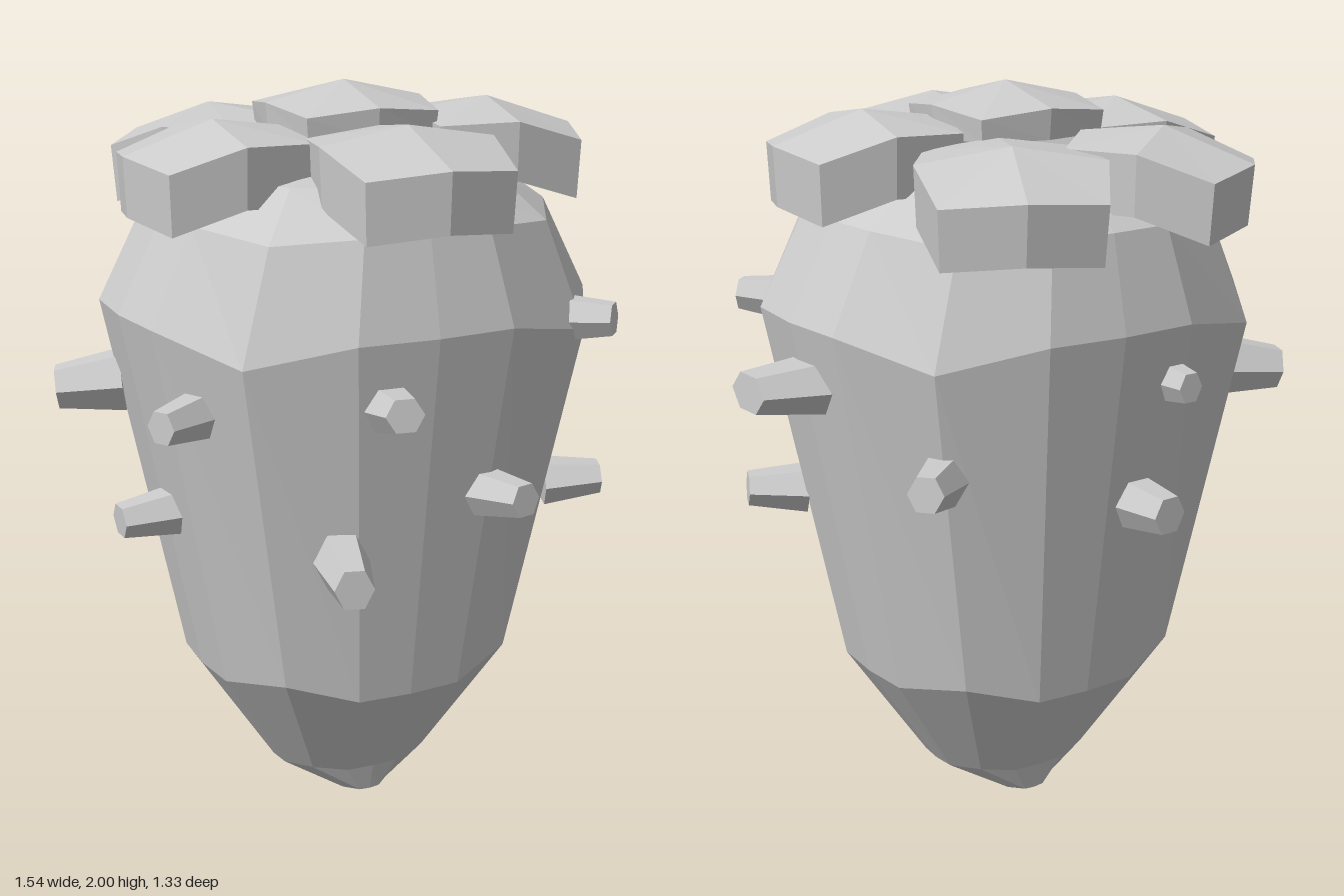
import * as THREE from 'three';

const material = new THREE.MeshStandardMaterial({ color: 0xcccccc, flatShading: true });

// Closed skin over equal-length rings of points, with a fan at each end
function loft(rings, bottom, top) {
  const n = rings[0].length;
  const pos = [];
  const tri = (...pts) => pts.forEach((p) => pos.push(...p));
  for (let i = 0; i < n; i++) {
    const j = (i + 1) % n;
    for (let r = 0; r < rings.length - 1; r++) {
      const lo = rings[r], hi = rings[r + 1];
      tri(lo[i], hi[i], hi[j]);
      tri(lo[i], hi[j], lo[j]);
    }
    tri(bottom, rings[0][i], rings[0][j]);
    const last = rings[rings.length - 1];
    tri(top, last[j], last[i]);
  }
  const g = new THREE.BufferGeometry();
  g.setAttribute('position', new THREE.Float32BufferAttribute(pos, 3));
  g.computeVertexNormals();
  return g;
}

function add(group, name, geometry) {
  const mesh = new THREE.Mesh(geometry, material);
  mesh.name = name;
  group.add(mesh);
  return mesh;
}

// Rounded-square section with four points per side
const quadrant = [[1, 0], [0.985, 0.34], [0.78, 0.74], [0.34, 0.965]];
const section = [];
for (let q = 0; q < 4; q++) {
  for (const [a, b] of quadrant) {
    // odd quarters swap the axes so the section turns a right angle
    section.push([[a, b], [-b, a], [-a, -b], [b, -a]][q]);
  }
}

function bodyGeometry() {
  // height, half width, half depth, lift of the corners
  const levels = [
    [0.02, 0.09, 0.17, 0], [0.1, 0.225, 0.19, 0.01], [0.42, 0.435, 0.425, 0.04],
    [1.43, 0.64, 0.57, -0.06], [1.68, 0.515, 0.51, -0.02], [1.78, 0.38, 0.38, 0],
  ];
  const rings = levels.map(([y, hx, hz, lift]) => section.map(([x, z], i) =>
    [x * hx - 0.02, y + (i % 4 === 2 ? lift : 0), z * hz - 0.02]));
  return loft(rings, [-0.02, 0, -0.02], [-0.02, 1.84, -0.02]);
}

// Thick leaf: outline in (outward, sideways), top height falls toward the tip
const leafOutline = [
  [0.24, 0, -0.08], [0.19, 0.205, -0.1], [0, 0.24, -0.04], [-0.2, 0.19, -0.05],
  [-0.22, 0, -0.03], [-0.2, -0.19, -0.05], [0, -0.24, -0.04], [0.19, -0.205, -0.1],
];
function leafGeometry() {
  const top = leafOutline.map(([u, v, y]) => [u, y, v]);
  const base = leafOutline.map(([u, v, y]) => [u * 0.97, y - 0.155, v * 0.97]);
  return loft([base, top], [0, -0.18, 0], [0, 0, 0]);
}

function capGeometry() {
  const ring = (y, s) => Array.from({ length: 8 }, (_, i) => {
    const a = i * Math.PI / 4, r = (i % 2 ? 0.262 : 0.222) * s;
    return [Math.cos(a) * r, y, Math.sin(a) * r];
  });
  const top = ring(-0.05, 1).map(([x, y, z], i) => [x, y + (i % 2 ? -0.02 : 0), z]);
  return loft([ring(-0.13, 0.97), top], [0, -0.13, 0], [0, 0, 0]);
}

export function createModel() {
  const model = new THREE.Group();
  model.name = 'berry';

  add(model, 'body', bodyGeometry());

  // Crown of five leaves: x, peak height, z, direction in degrees, extra tilt
  const leaves = new THREE.Group();
  leaves.name = 'leaves';
  model.add(leaves);
  const leafGeo = leafGeometry();
  [
    [0.37, 1.945, 0.04, 7, 0], [-0.41, 1.925, 0.03, 180, 0], [-0.02, 1.93, 0.36, 90, 0],
    [0.2, 1.895, -0.41, -67, 0.08], [-0.26, 1.91, -0.4, -128, 0.03],
  ].forEach(([x, y, z, deg, tilt], i) => {
    const leaf = add(leaves, `leaf${i + 1}`, leafGeo);
    leaf.position.set(x, y, z);
    leaf.rotation.set(0, -THREE.MathUtils.degToRad(deg), -tilt, 'YXZ');
  });
  add(leaves, 'centreLeaf', capGeometry()).position.set(-0.02, 2, -0.025);

  // Seeds: x, y, z, direction in degrees, upward tilt, width, height, length
  const seeds = new THREE.Group();
  seeds.name = 'seeds';
  model.add(seeds);
  const seedGeo = new THREE.CylinderGeometry(0.36, 0.52, 1, 6);
  seedGeo.rotateZ(-Math.PI / 2); // narrow end points along +x
  [
    [-0.15, 1.265, 0.57, 98, 0.15, 0.14, 0.13, 0.15],
    [0.18, 0.99, 0.53, 75, 0.1, 0.13, 0.13, 0.16],
    [-0.27, 0.85, 0.55, 105, 0, 0.14, 0.16, 0.2],
    [0.48, 1.4, 0.4, 45, 0.05, 0.13, 0.13, 0.16],
    [0.55, 0.9, 0.24, 20, 0.05, 0.16, 0.13, 0.16],
    [0.66, 1.27, -0.05, -5, 0.05, 0.22, 0.15, 0.2],
    [0.46, 1.09, -0.47, -45, 0.1, 0.13, 0.14, 0.16],
    [-0.6, 1.22, 0.28, 150, 0, 0.12, 0.13, 0.16],
    [-0.67, 1.19, -0.26, 200, -0.1, 0.18, 0.17, 0.18],
    [-0.61, 0.89, 0.02, 178, -0.05, 0.14, 0.13, 0.16],
    [-0.2, 1.28, -0.56, 268, 0, 0.1, 0.12, 0.12],
    [-0.12, 0.96, -0.56, 264, 0, 0.14, 0.15, 0.17],
  ].forEach(([x, y, z, deg, tilt, w, h, len], i) => {
    const seed = add(seeds, `seed${i + 1}`, seedGeo);
    seed.position.set(x, y, z);
    seed.rotation.set(0, -THREE.MathUtils.degToRad(deg), tilt, 'YXZ');
    seed.scale.set(len, h, w);
  });

  return model;
}
